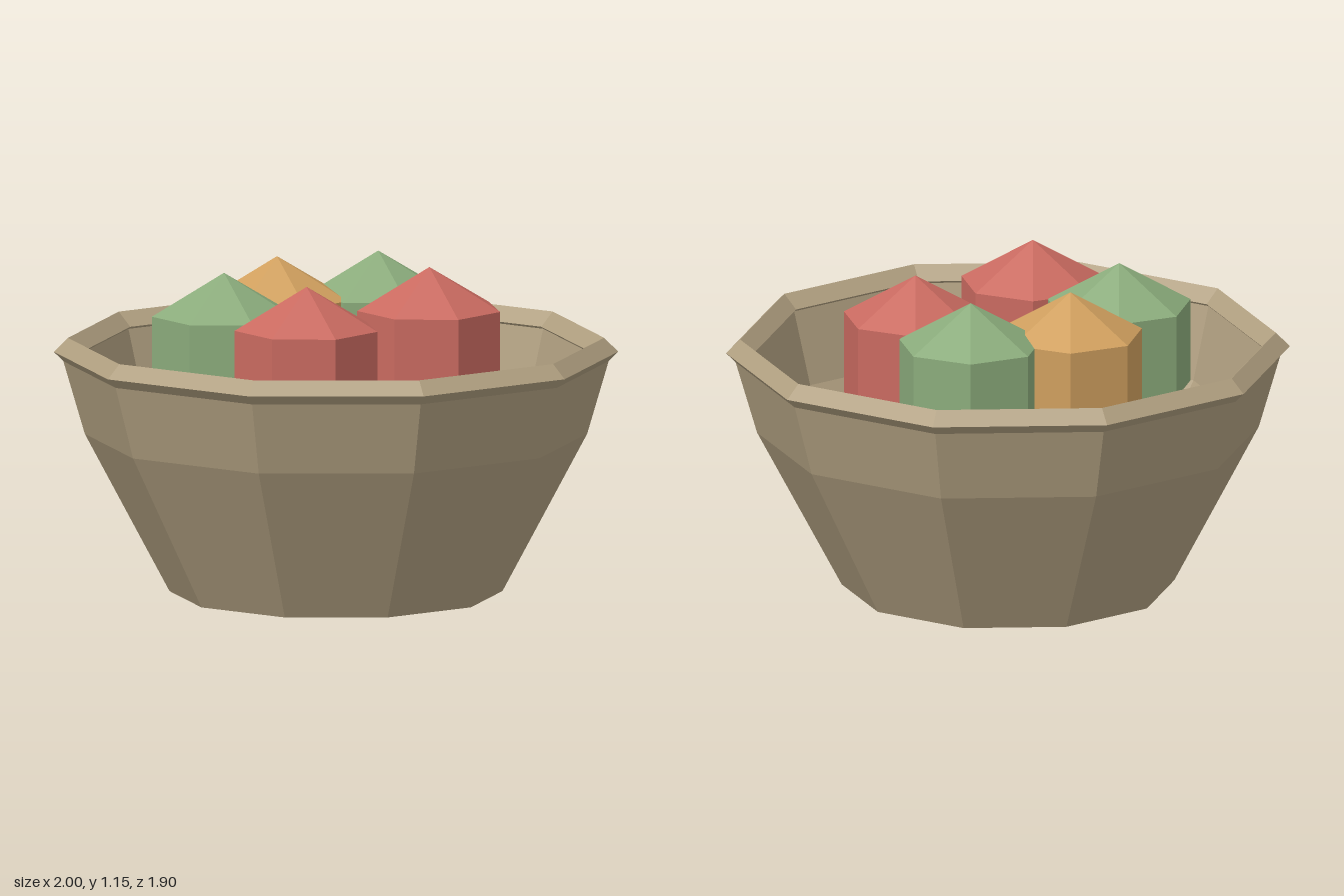
import * as THREE from 'three';

const material = (name, color) => {
  const m = new THREE.MeshStandardMaterial({ color, flatShading: true });
  m.name = name;
  return m;
};

export function createModel() {
  const model = new THREE.Group();
  model.name = 'fruitBowl';

  const clay = material('clay', 0xb09f80);
  const red = material('red', 0xc96a60);
  const green = material('green', 0x8aab7b);
  const amber = material('amber', 0xcf9f5e);

  const add = (name, geometry, mat) => {
    const mesh = new THREE.Mesh(geometry, mat);
    mesh.name = name;
    model.add(mesh);
    return mesh;
  };

  // Ten-sided thick bowl: up the outside, over the lip, down to the inner floor
  const profile = [
    [0, 0], [0.59, 0], [0.89, 0.565], [0.976, 0.86],
    [0.91, 0.86], [0.84, 0.59], [0.53, 0.08], [0, 0.08],
  ].map(([r, y]) => new THREE.Vector2(r, y));
  add('bowl', new THREE.LatheGeometry(profile, 10, Math.PI / 2), clay);

  // Diamond-section rim
  const rim = add('rim', new THREE.TorusGeometry(0.95, 0.05, 4, 10), clay);
  rim.rotation.x = -Math.PI / 2;
  rim.position.y = 0.86;

  // Faceted fruit: seven-sided coarse spheres
  const fruitGeometry = new THREE.SphereGeometry(0.3, 7, 3).rotateY(Math.PI);
  const fruits = [
    ['redFruitLeft', red, 0.3, 0.15],
    ['redFruitRight', red, -0.3, 0.235],
    ['greenFruitLeft', green, 0.36, -0.24],
    ['greenFruitRight', green, -0.36, -0.18],
    ['amberFruit', amber, 0, -0.355],
  ];
  for (const [name, mat, x, z] of fruits) {
    add(name, fruitGeometry, mat).position.set(x, 0.855, z);
  }

  return model;
}
